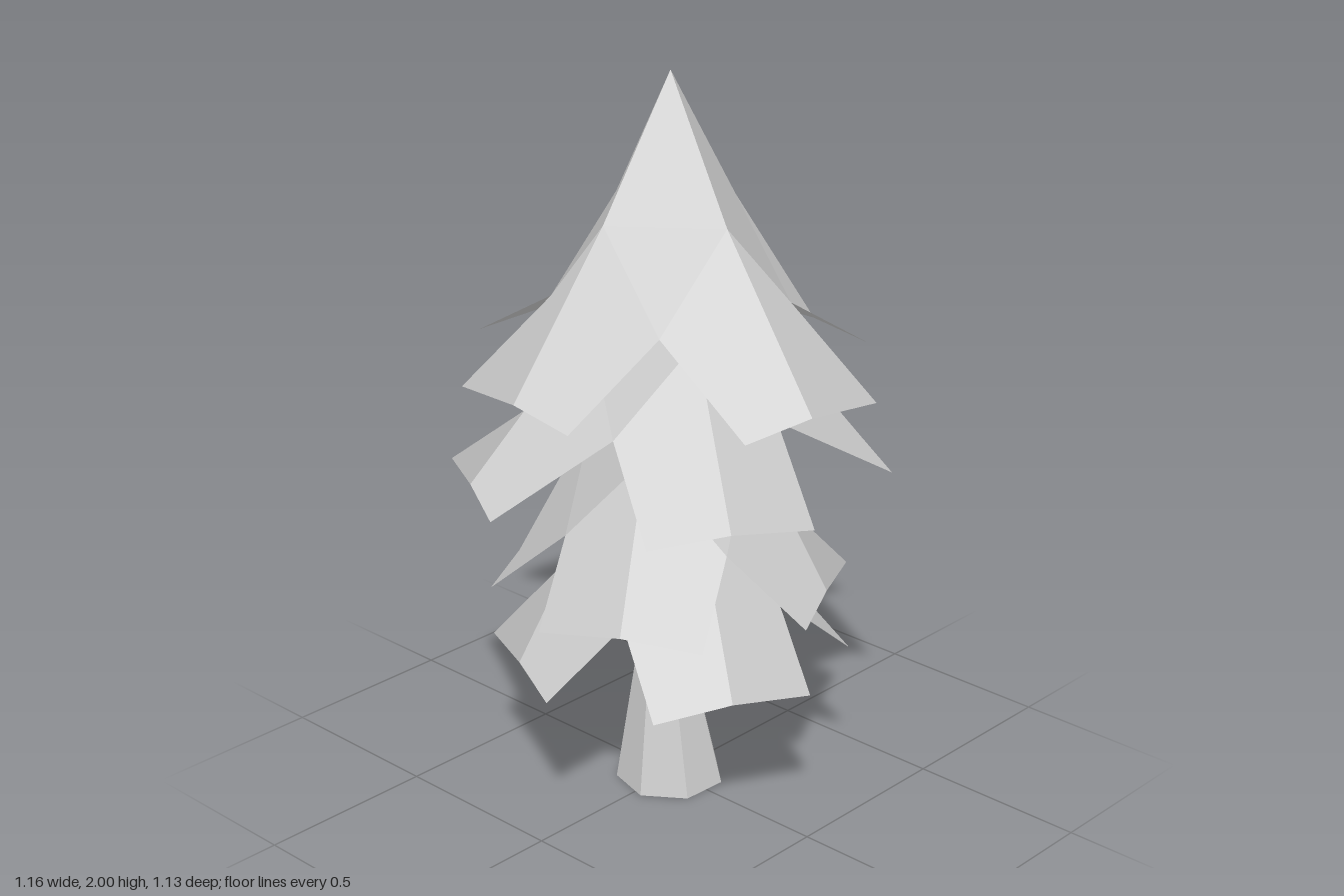
import * as THREE from 'three';

const grey = new THREE.MeshStandardMaterial({ color: 0xcccccc, side: THREE.DoubleSide });
grey.name = 'plain grey';

// Geometry of four-cornered faces, each with one flat normal and folded from corner a to c
function quadGeometry(quads) {
  const pos = [], nor = [];
  for (const [a, b, c, d] of quads) {
    const n = c.clone().sub(a).cross(d.clone().sub(b)).normalize();
    for (const p of [a, b, c, a, c, d]) {
      pos.push(p.x, p.y, p.z);
      nor.push(n.x, n.y, n.z);
    }
  }
  const g = new THREE.BufferGeometry();
  g.setAttribute('position', new THREE.Float32BufferAttribute(pos, 3));
  g.setAttribute('normal', new THREE.Float32BufferAttribute(nor, 3));
  return g;
}

// One tier: a peaked cap with four folded flaps, open underneath.
// reachZ and reachX are the flap lengths; y is the height of the lower corners.
function branchTier(name, y, turn, reachZ, reachX) {
  const w = 0.22;
  const quads = [];
  const axis = new THREE.Vector3(0, 1, 0);
  for (let i = 0; i < 4; i++) {
    const reach = i % 2 ? reachX : reachZ;
    const at = (px, py, pz) => new THREE.Vector3(px, py, pz).applyAxisAngle(axis, i * Math.PI / 2);
    const bend = at(0, 0.422, w);
    const ridge = at(0, 0.014, reach);
    const inR = at(w, 0.181, w), inL = at(-w, 0.181, w);
    const outR = at(w, 0, reach), outL = at(-w, 0, reach);
    quads.push([ridge, outR, inR, bend]);                                // right half of flap
    quads.push([ridge, bend, inL, outL]);                                // left half of flap
    quads.push([bend, inR, at(w, 0.422, 0), at(0, 0.785, 0)]);           // cap quarter
  }
  const mesh = new THREE.Mesh(quadGeometry(quads), grey);
  mesh.name = name;
  mesh.position.y = y;
  mesh.rotation.y = THREE.MathUtils.degToRad(turn);
  return mesh;
}

// Seven-sided trunk: flared foot, then a straight stem
function trunk() {
  const rings = [[0, 0.15, 0], [0.345, 0.081, -0.022], [1.0, 0.081, -0.022]];
  const point = ([y, r, z], i) => {
    const a = THREE.MathUtils.degToRad(22.8 + i * 360 / 7);
    return new THREE.Vector3(r * Math.sin(a), y, z + r * Math.cos(a));
  };
  const quads = [];
  for (let i = 0; i < 7; i++) {
    for (let k = 0; k < 2; k++) {
      quads.push([point(rings[k], i), point(rings[k], i + 1), point(rings[k + 1], i + 1), point(rings[k + 1], i)]);
    }
  }
  const mesh = new THREE.Mesh(quadGeometry(quads), grey);
  mesh.name = 'trunk';

  // Sole of the trunk
  const sole = new THREE.Mesh(new THREE.CircleGeometry(0.15, 7, THREE.MathUtils.degToRad(90 - 22.8)), grey);
  sole.name = 'trunkSole';
  sole.rotation.x = Math.PI / 2;
  mesh.add(sole);
  return mesh;
}

export function createModel() {
  const group = new THREE.Group();
  group.name = 'pineTree';
  group.add(
    trunk(),
    branchTier('topBranches', 1.215, -6.8, 0.543, 0.51),
    branchTier('upperBranches', 0.93, 60.5, 0.543, 0.508),
    branchTier('middleBranches', 0.61, 26, 0.434, 0.434),
    branchTier('lowerBranches', 0.413, -25, 0.434, 0.434),
  );
  return group;
}
